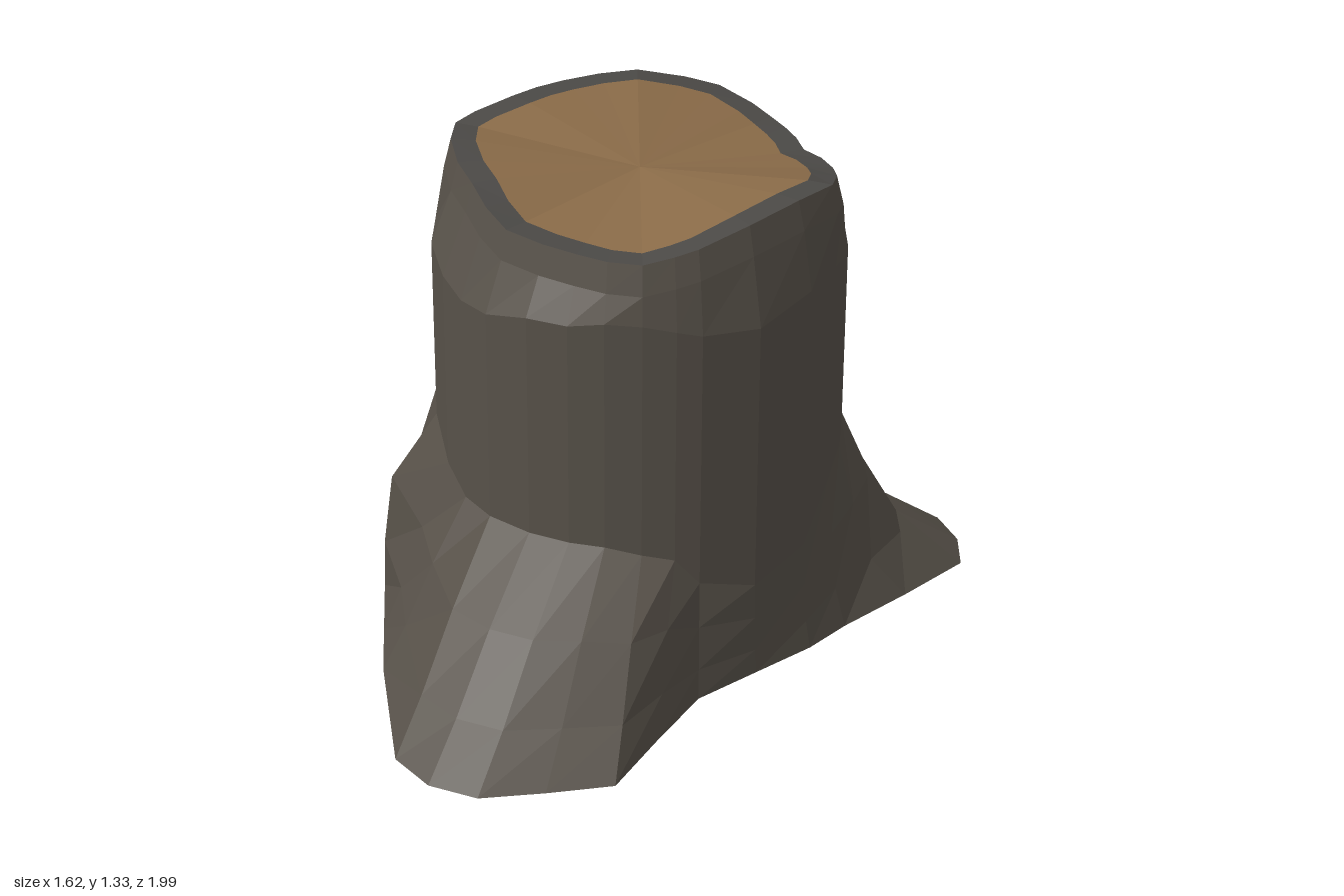
import * as THREE from 'three';

const bark = new THREE.MeshStandardMaterial({ color: 0x575149, side: THREE.DoubleSide });
bark.name = 'bark';
const barkEdge = new THREE.MeshStandardMaterial({ color: 0x4b4946 });
barkEdge.name = 'bark edge';
const wood = new THREE.MeshStandardMaterial({ color: 0x8a6b48 });
wood.name = 'cut wood';

const CZ = -0.14;        // trunk axis in z
const TRUNK_R = 0.557;

// Columns around the stump, from +z towards +x:
// ground x, ground z, angle on the trunk in degrees, height where the root joins
const columns = [
  [0.04, 0.99, 4, 0.44], [0.19, 0.9, 14, 0.44], [0.34, 0.8, 24, 0.42], [0.36, 0.57, 33, 0.4],
  [0.385, 0.35, 40, 0.32], [0.48, 0.17, 57, 0.27], [0.57, 0, 76, 0.32], [0.62, -0.14, 90, 0.46],
  [0.72, -0.36, 102, 0.5], [0.81, -0.58, 113, 0.52], [0.76, -0.7, 124, 0.52], [0.67, -0.79, 135, 0.52],
  [0.52, -0.8, 144, 0.5], [0.37, -0.81, 152, 0.48], [0.25, -0.75, 160, 0.4], [0.13, -0.69, 168, 0.28],
  [0, -0.7, 180, 0.22], [-0.1, -0.68, 190, 0.28], [-0.3, -0.84, 204, 0.46], [-0.51, -1, 216, 0.52],
  [-0.72, -0.89, 228, 0.56], [-0.81, -0.76, 238, 0.58], [-0.73, -0.49, 248, 0.6], [-0.63, -0.22, 262, 0.62],
  [-0.66, -0.13, 270, 0.62], [-0.63, 0, 284, 0.6], [-0.64, 0.18, 302, 0.58], [-0.54, 0.38, 316, 0.5],
  [-0.45, 0.56, 327, 0.45], [-0.23, 0.92, 338, 0.44], [-0.1, 0.99, 352, 0.44],
];

// Cut edge radius and height at every 22.5 degrees
const rimRadius = [0.475, 0.525, 0.51, 0.49, 0.54, 0.51, 0.475, 0.52, 0.56, 0.53, 0.5, 0.49, 0.54, 0.49, 0.47, 0.48];
const rimHeight = [1.25, 1.25, 1.29, 1.33, 1.33, 1.28, 1.25, 1.25, 1.29, 1.33, 1.33, 1.33, 1.31, 1.33, 1.32, 1.26];

function sample(table, deg) {
  const f = deg / 22.5, i = Math.floor(f);
  return THREE.MathUtils.lerp(table[i % 16], table[(i + 1) % 16], f - i);
}

function polar(deg, r, y) {
  const a = THREE.MathUtils.degToRad(deg);
  return [Math.sin(a) * r, y, CZ + Math.cos(a) * r];
}

// Outward share of the flare at four steps from ground to trunk
const STEPS = [0, 0.25, 0.62, 1];
const frontFlare = [1, 0.73, 0.4, 0];
const wallFlare = [1, 0.97, 0.8, 0];
const backFlare = [1, 0.5, 0.22, 0];
function flareFor(i) {
  if (i <= 4 || i >= 27) return frontFlare;
  return i >= 23 ? wallFlare : backFlare;
}

// Skin closed rings of points, bottom ring first, with flat faces
function skin(rings) {
  const n = rings[0].length, pos = [];
  for (let r = 0; r + 1 < rings.length; r++) {
    for (let i = 0; i < n; i++) {
      const j = (i + 1) % n;
      const a = rings[r][i], b = rings[r][j], c = rings[r + 1][j], d = rings[r + 1][i];
      pos.push(...a, ...b, ...c, ...a, ...c, ...d);
    }
  }
  const geo = new THREE.BufferGeometry();
  geo.setAttribute('position', new THREE.Float32BufferAttribute(pos, 3));
  geo.computeVertexNormals();
  return geo;
}

export function createModel() {
  const group = new THREE.Group();
  group.name = 'treeStump';

  // Flaring roots
  const rootRings = STEPS.map((t, s) => columns.map(([bx, bz, deg, h], i) => {
    const [tx, , tz] = polar(deg, TRUNK_R, 0);
    const k = flareFor(i)[s];
    return [tx + (bx - tx) * k, h * t, tz + (bz - tz) * k];
  }));

  // Trunk wall and worn shoulder under the cut
  const ring = (fn) => columns.map(([, , deg]) =>
    polar(deg, ...fn(sample(rimRadius, deg), sample(rimHeight, deg), deg)));
  const shoulder = ring((r, h, deg) => [TRUNK_R, 1.07 + 0.03 * Math.sin(deg * 0.09)]);
  const upper = ring((r, h) => [Math.min(TRUNK_R, r + 0.02), h - 0.08]);
  const outer = ring((r, h) => [r, h]);
  const inner = ring((r, h) => [r - 0.068, h]);
  const centre = columns.map(() => [0, 1.28, CZ]);

  const parts = [
    ['roots', rootRings, bark],
    ['trunk', [rootRings[3], shoulder, upper, outer], bark],
    ['barkRim', [outer, inner], barkEdge],
    ['cutTop', [inner, centre], wood],
  ];
  for (const [name, rings, material] of parts) {
    const mesh = new THREE.Mesh(skin(rings), material);
    mesh.name = name;
    group.add(mesh);
  }
  return group;
}
